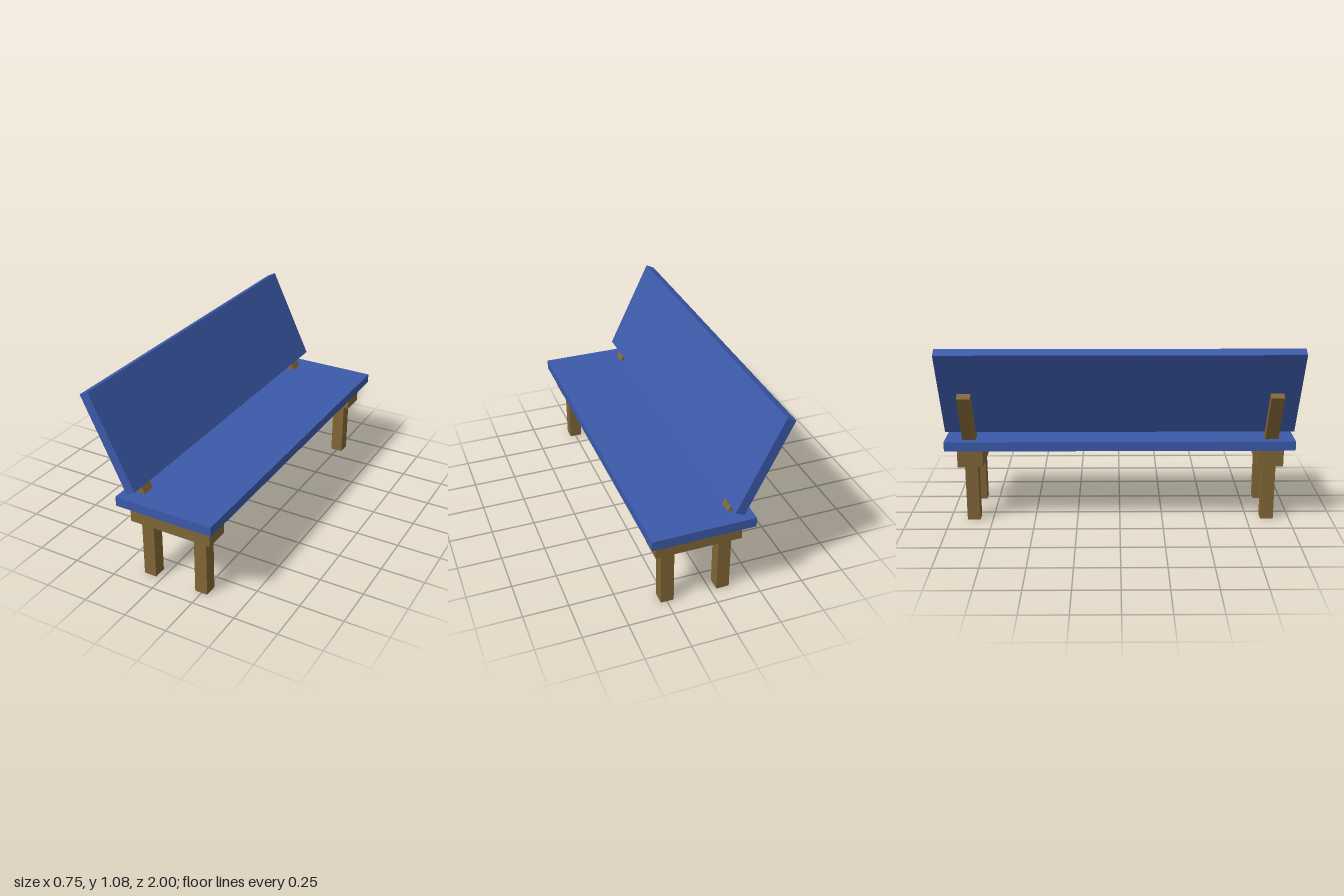
import * as THREE from 'three';

const paint = new THREE.MeshStandardMaterial({ color: 0x3c5aaa });
const wood = new THREE.MeshStandardMaterial({ color: 0x806636 });
const LEAN = 0.453; // backward tilt of the backrest

function createBeam(name, material, size, position, tilt = 0) {
  const mesh = new THREE.Mesh(new THREE.BoxGeometry(...size), material);
  mesh.name = name;
  mesh.position.set(...position);
  mesh.rotation.z = tilt;
  return mesh;
}

export function createModel() {
  const bench = new THREE.Group();
  bench.name = 'bench';

  // Long painted boards
  bench.add(createBeam('seat', paint, [0.571, 0.055, 2], [0.086, 0.485, 0], -0.002));
  bench.add(createBeam('backrest', paint, [0.055, 0.567, 2], [-0.226, 0.8165, 0], LEAN));

  // A wooden trestle near each end, with a leaning support for the backrest
  for (const [side, z] of [['left', 0.869], ['right', -0.862]]) {
    const trestle = new THREE.Group();
    trestle.name = side + 'Trestle';
    trestle.position.z = z;
    trestle.add(createBeam('crossBeam', wood, [0.48, 0.114, 0.147], [0.088, 0.402, 0]));
    trestle.add(createBeam('backLeg', wood, [0.073, 0.36, 0.075], [-0.073, 0.18, 0]));
    trestle.add(createBeam('frontLeg', wood, [0.073, 0.36, 0.075], [0.248, 0.18, 0]));
    trestle.add(createBeam('backSupport', wood, [0.068, 0.356, 0.075], [-0.186, 0.65, 0], LEAN));
    bench.add(trestle);
  }
  return bench;
}
